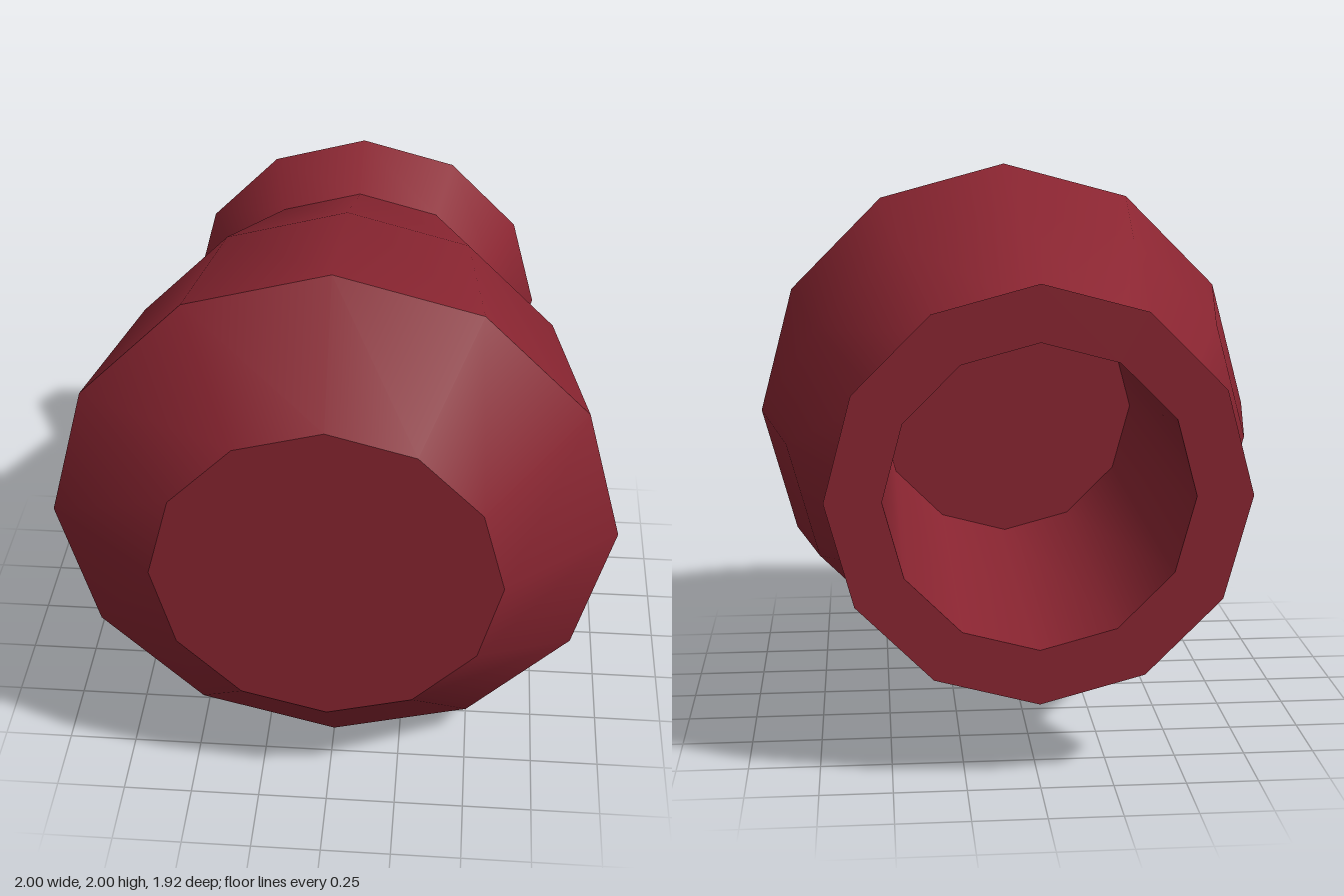
import * as THREE from 'three';

export function createModel() {
  const group = new THREE.Group();
  group.name = 'pot';
  const clay = new THREE.MeshStandardMaterial({ color: 0x8a2531 });
  clay.name = 'dark red clay';

  // Each band is a 12-sided lathe of [radius, height]; separate bands keep hard creases between them.
  const bands = {
    base: [[0, -0.96], [0.605, -0.96]],
    lowerBevel: [[0.605, -0.96], [1, -0.63]],
    body: [[1, -0.63], [0.873, 0.04], [0.605, 0.705]],
    flaredNeck: [[0.605, 0.705], [0.715, 0.96]],
    rim: [[0.715, 0.96], [0.523, 0.96]],
    innerWall: [[0.523, 0.96], [0.523, -0.6]],
    innerFloor: [[0.523, -0.6], [0, -0.6]],
  };

  for (const [name, profile] of Object.entries(bands)) {
    const points = profile.map(([r, y]) => new THREE.Vector2(r, y));
    const geometry = new THREE.LatheGeometry(points, 12);
    // Lay the pot on its side: base to the front, mouth to the back.
    geometry.rotateX(-Math.PI / 2).translate(0, 1, 0);
    const mesh = new THREE.Mesh(geometry, clay);
    mesh.name = name;
    group.add(mesh);
  }
  return group;
}
